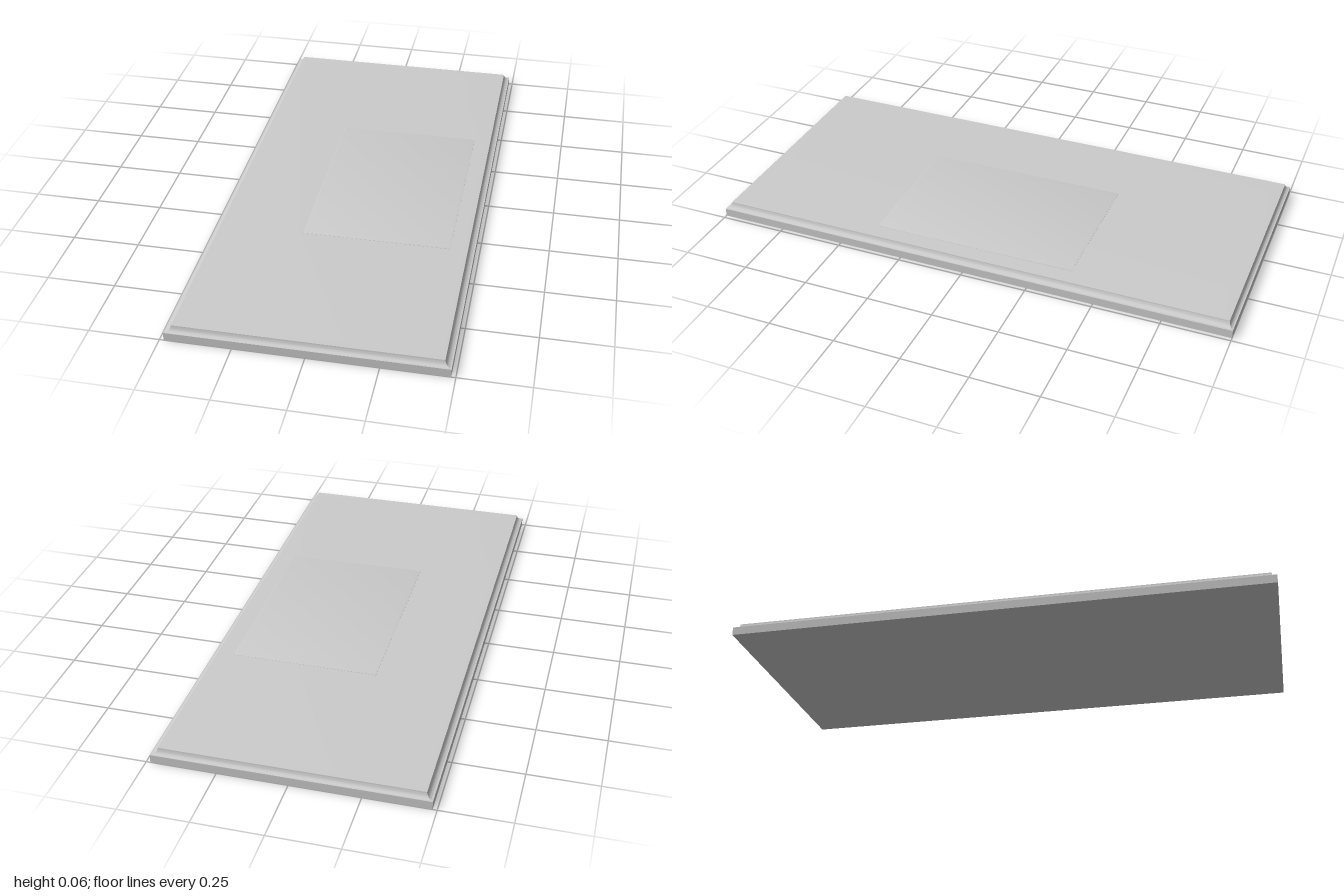
import * as THREE from 'three';
import { toCreasedNormals } from 'three/addons/utils/BufferGeometryUtils.js';

const grey = new THREE.MeshStandardMaterial({ color: 0xcccccc });

// Closed solid through stacked rectangles, each [halfX, halfZ, y], bottom first
function stackedSlab(name, sections) {
  const positions = [];
  const index = [];
  for (const [hx, hz, y] of sections) {
    positions.push(-hx, y, hz, hx, y, hz, hx, y, -hz, -hx, y, -hz);
  }
  for (let s = 0; s < sections.length - 1; s++) {
    for (let i = 0; i < 4; i++) {
      const a = s * 4 + i, b = s * 4 + (i + 1) % 4;
      index.push(a, b, b + 4, a, b + 4, a + 4);
    }
  }
  const t = (sections.length - 1) * 4;
  index.push(0, 2, 1, 0, 3, 2, t, t + 1, t + 2, t, t + 2, t + 3);
  const geometry = new THREE.BufferGeometry();
  geometry.setAttribute('position', new THREE.Float32BufferAttribute(positions, 3));
  geometry.setIndex(index);
  const mesh = new THREE.Mesh(toCreasedNormals(geometry, 0.4), grey);
  mesh.name = name;
  return mesh;
}

export function createModel() {
  const group = new THREE.Group();
  group.name = 'panelSlab';

  // Plain plinth
  group.add(stackedSlab('base', [[0.485, 1, 0], [0.485, 1, 0.031]]));

  // Upper slab: concave moulded rim, then a very shallow slope to the flat top
  const rim = [];
  const steps = 6;
  for (let i = 0; i <= steps; i++) {
    const a = (i / steps) * Math.PI / 2;
    const inset = Math.sin(a);
    rim.push([0.483 - 0.021 * inset, 0.998 - 0.016 * inset, 0.031 + 0.022 * (1 - Math.cos(a))]);
  }
  rim.push([0.44, 0.935, 0.0542]);
  group.add(stackedSlab('mouldedTop', rim));

  // Thin raised plate, set off to one side, with bevelled edges
  const plate = stackedSlab('raisedPlate', [
    [0.273, 0.387, 0.052],
    [0.273, 0.387, 0.0548],
    [0.266, 0.380, 0.0565],
  ]);
  plate.position.set(0.125, 0, -0.004);
  group.add(plate);

  return group;
}
